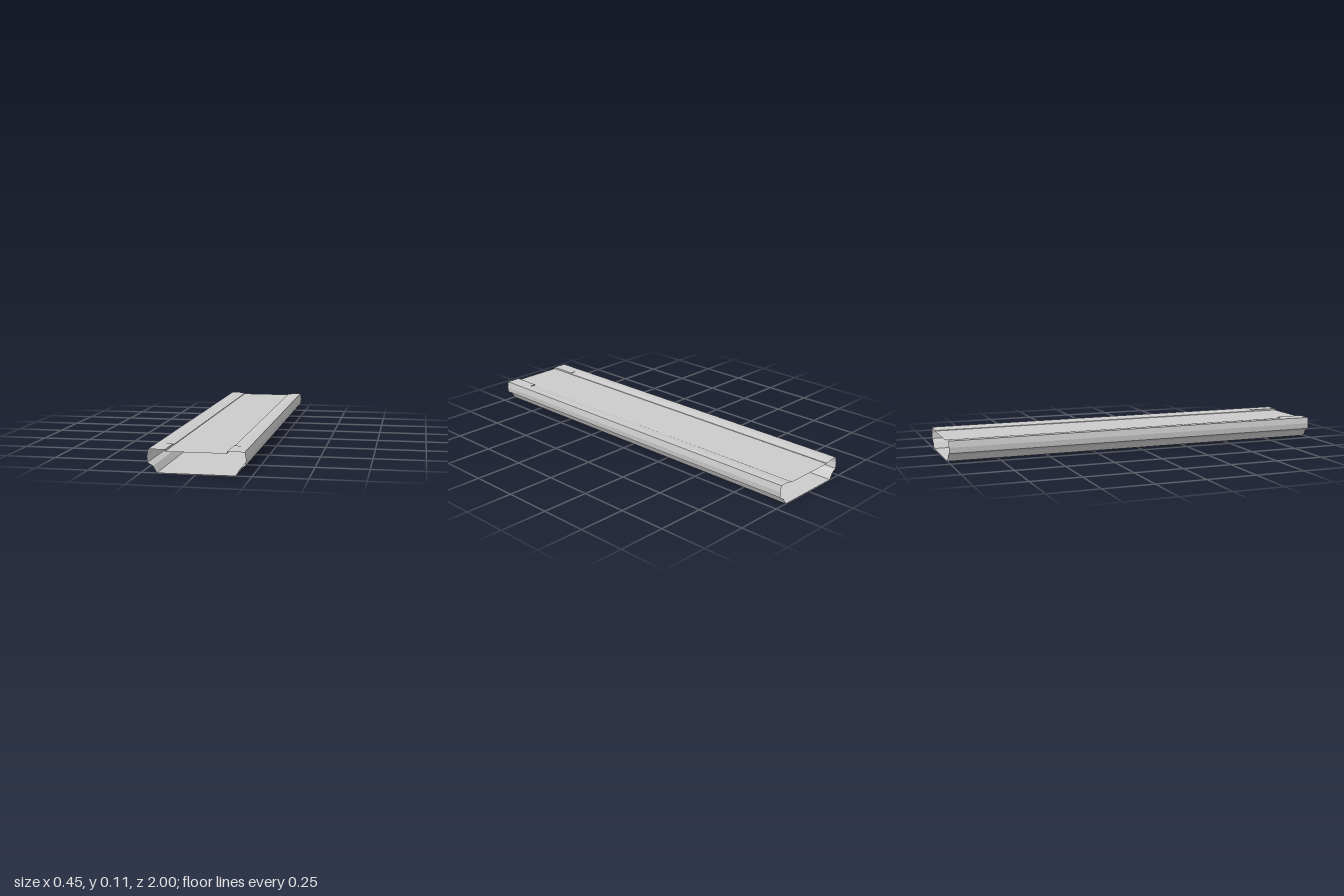
import * as THREE from 'three';

const material = new THREE.MeshStandardMaterial({ color: 0xcccccc, flatShading: true, side: THREE.DoubleSide });

// Sheet swept along z from an open list of [x, y] points (outside lies to the right of travel)
function sheet(name, points, zBack, zFront) {
  const pos = [];
  for (let i = 0; i < points.length - 1; i++) {
    const [ax, ay] = points[i];
    const [bx, by] = points[i + 1];
    pos.push(ax, ay, zBack, bx, by, zFront, bx, by, zBack);
    pos.push(ax, ay, zBack, ax, ay, zFront, bx, by, zFront);
  }
  return meshFrom(name, pos);
}

function meshFrom(name, pos) {
  const geometry = new THREE.BufferGeometry();
  geometry.setAttribute('position', new THREE.Float32BufferAttribute(pos, 3));
  geometry.computeVertexNormals();
  const mesh = new THREE.Mesh(geometry, material);
  mesh.name = name;
  return mesh;
}

export function createModel() {
  const model = new THREE.Group();
  model.name = 'hollowPlank';

  const top = 0.107, lip = 0.101, panelY = 0.098;
  const inner = 0.14, crest = 0.18, foot = 0.178, step = 0.85;

  // Flat bottom and slightly sunken top panel, open at both ends
  model.add(sheet('bottomPanel', [[-foot, 0], [foot, 0]], -1, 1));
  model.add(sheet('topPanel', [[inner, panelY], [-inner, panelY]], -1, 1));

  for (const side of [1, -1]) {
    const place = (pts) => {
      const out = pts.map(([x, y]) => [side * x, y]);
      return side > 0 ? out : out.reverse();
    };
    const label = side > 0 ? 'left' : 'right';

    // Moulded side wall with a notch under its bulge, up to the rail crest
    model.add(sheet(label + 'SideRail', place([
      [foot, 0], [0.196, 0.031], [0.221, 0.046], [0.224, 0.075], [0.218, top], [crest, top],
    ]), -1, 1));

    // Sloped inner lip along most of the length
    model.add(sheet(label + 'SlopedLip', place([[crest, top], [inner, lip], [inner, panelY]]), -1, step));

    // Flat lip near the front end
    model.add(sheet(label + 'FlatLip', place([[crest, top], [inner, top], [inner, panelY]]), step, 1));

    // Small triangle closing the step between the two lips
    const tri = place([[crest, top], [inner, lip], [inner, top]]);
    model.add(meshFrom(label + 'LipStep', tri.flatMap(([x, y]) => [x, y, step])));
  }
  return model;
}
